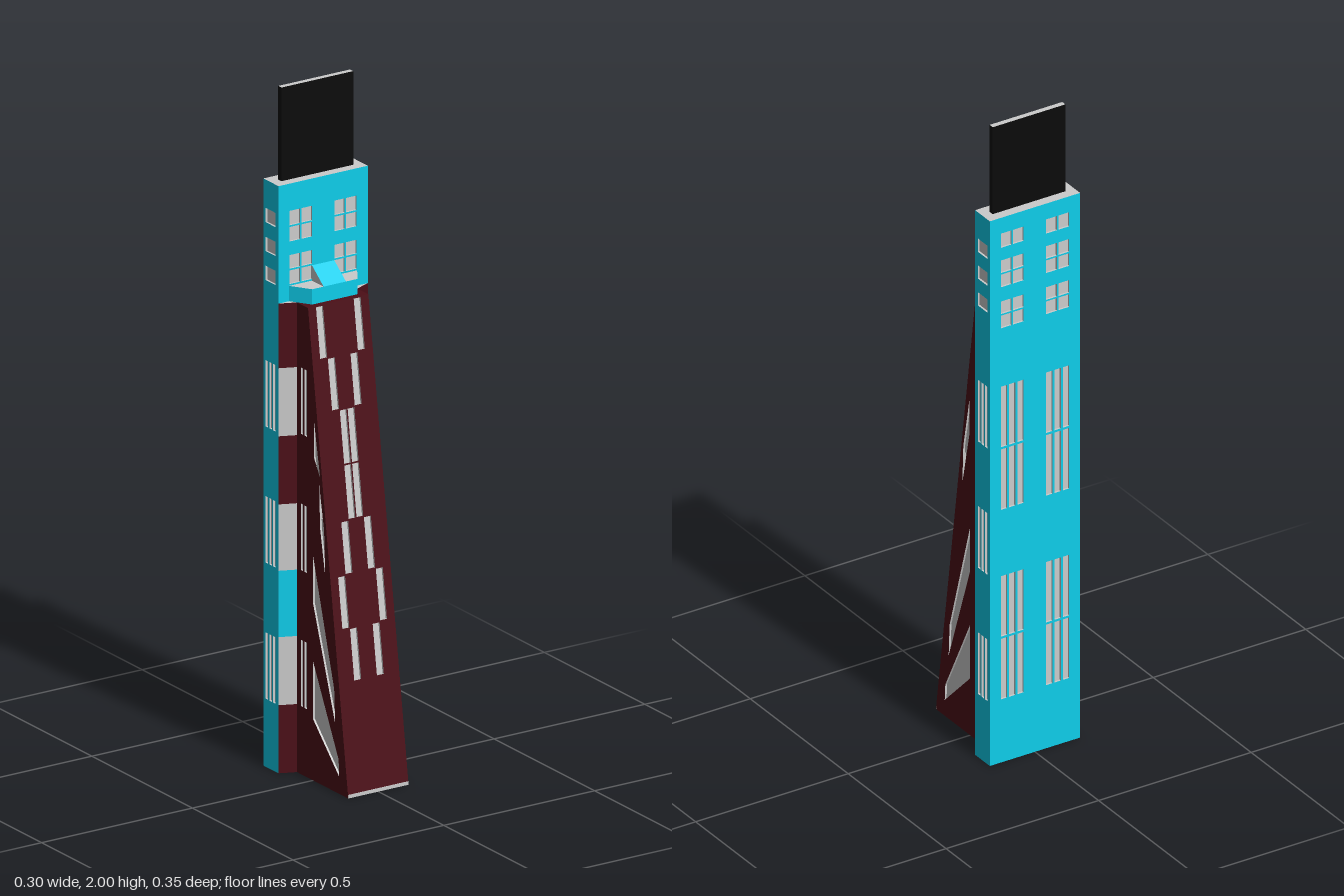
import * as THREE from 'three';
import { mergeGeometries } from 'three/addons/utils/BufferGeometryUtils.js';

const mat = (color, side = THREE.FrontSide) => new THREE.MeshStandardMaterial({ color, side });
const grey = mat(0xcccccc), greyBoth = mat(0xcccccc, THREE.DoubleSide);
const cyan = mat(0x0ecdea), red = mat(0x4c0e17), black = mat(0x0b0b0b);

const W = 0.148, BACK = -0.175, FRONT = -0.1, H = 1.725; // slab tower
const RW = 0.1, RH = 1.38, TOE = 0.175, LIP = -0.025; // sloped buttress
const DEPTH = 0.006; // window recess

const vecs = (pts) => pts.map(([x, y]) => new THREE.Vector2(x, y));
const rect = (x0, y0, x1, y1) => [[x0, y0], [x1, y0], [x1, y1], [x0, y1]];
const flip = (pts) => pts.map(([x, y]) => [-x, y]);

// Splits a window rectangle into panes separated by thin bars
function panes(x0, y0, x1, y1, cols, rows, bar = 0.005) {
  const out = [], w = (x1 - x0 - bar * (cols - 1)) / cols, h = (y1 - y0 - bar * (rows - 1)) / rows;
  for (let c = 0; c < cols; c++) for (let r = 0; r < rows; r++) {
    const x = x0 + c * (w + bar), y = y0 + r * (h + bar);
    out.push(rect(x, y, x + w, y + h));
  }
  return out;
}

// Recessed glass and reveals behind one hole
function pocket(pts) {
  const glass = new THREE.ShapeGeometry(new THREE.Shape(vecs(pts))).translate(0, 0, -DEPTH).toNonIndexed();
  glass.deleteAttribute('uv');
  const p = [];
  pts.forEach(([ax, ay], i) => {
    const [bx, by] = pts[(i + 1) % pts.length];
    p.push(ax, ay, 0, ax, ay, -DEPTH, bx, by, 0, bx, by, 0, ax, ay, -DEPTH, bx, by, -DEPTH);
  });
  const sides = new THREE.BufferGeometry();
  sides.setAttribute('position', new THREE.Float32BufferAttribute(p, 3));
  sides.computeVertexNormals();
  return mergeGeometries([glass, sides]);
}

// Flat wall facing local +z, with window holes and their recesses
function wall(name, material, outline, holes = []) {
  const g = new THREE.Group();
  g.name = name;
  const shape = new THREE.Shape(vecs(outline));
  shape.holes = holes.map((h) => new THREE.Path(vecs(h)));
  const face = new THREE.Mesh(new THREE.ShapeGeometry(shape), material);
  face.name = name + 'Face';
  g.add(face);
  if (holes.length) {
    const win = new THREE.Mesh(mergeGeometries(holes.map(pocket)), greyBoth);
    win.name = name + 'Windows';
    g.add(win);
  }
  return g;
}

// Upright prism from a plan outline in (x, z), with grey ends
function prism(name, plan, y0, y1, material) {
  const shape = new THREE.Shape(vecs(plan.map(([x, z]) => [x, -z])));
  const geo = new THREE.ExtrudeGeometry(shape, { depth: y1 - y0, bevelEnabled: false });
  const m = new THREE.Mesh(geo.rotateX(-Math.PI / 2).translate(0, y0, 0), [grey, material]);
  m.name = name;
  return m;
}

export function createModel() {
  const model = new THREE.Group();
  const add = (o, x = 0, y = 0, z = 0, rx = 0, ry = 0) => {
    o.position.set(x, y, z);
    o.rotation.set(rx, ry, 0);
    model.add(o);
    return o;
  };
  const pair = (fn) => [...fn, ...fn.map(flip)];

  // Slab front and back
  const frontWin = [[1.43, 1.515], [1.555, 1.645]].flatMap(([a, b]) => panes(0.037, a, 0.111, b, 2, 2));
  add(wall('towerFront', cyan, rect(-W, 0, W, H), pair(frontWin)), 0, 0, FRONT);
  const backWin = [
    ...panes(0.037, 0.2, 0.112, 0.59, 3, 2, 0.007),
    ...panes(0.037, 0.8, 0.112, 1.19, 3, 2, 0.007),
    ...panes(0.037, 1.375, 0.112, 1.46, 2, 2),
    ...panes(0.037, 1.505, 0.112, 1.59, 2, 2),
    ...panes(0.037, 1.63, 0.112, 1.675, 2, 1),
  ];
  add(wall('towerBack', cyan, rect(-W, 0, W, H), pair(backWin)), 0, 0, BACK, 0, Math.PI);

  // Slab sides and buttress sides; local x runs towards the back
  const slabSide = rect(-FRONT, 0, -BACK, H);
  const slabWin = [
    ...[0.2, 0.6, 1.0].flatMap((y) => panes(0.114, y, 0.164, y + 0.195, 3, 1, 0.006)),
    ...[1.43, 1.515, 1.6].flatMap((y) => panes(0.114, y, 0.164, y + 0.042, 1, 1)),
  ];
  const wedgeSide = [[-TOE, 0], [-FRONT, 0], [-FRONT, RH], [-LIP, RH]];
  const wedgeWin = [
    ...[0.2, 0.6, 1.0].flatMap((y) => panes(0.031, y, 0.061, y + 0.195, 2, 1, 0.006)),
    [[-0.13, 0.05], [0, 0.18], [0, 0.35], [-0.127, 0.1]],
    [[-0.11, 0.2], [0, 0.52], [0, 0.66], [-0.105, 0.3]],
    [[-0.06, 0.62], [-0.035, 0.75], [-0.03, 0.88], [-0.055, 0.75]],
    [[-0.04, 0.78], [-0.004, 0.95], [-0.004, 1.06], [-0.035, 0.9]],
  ];
  for (const s of [1, -1]) {
    const m = s > 0 ? (p) => p : flip, side = s > 0 ? 'left' : 'right';
    add(wall(side + 'TowerSide', cyan, m(slabSide), slabWin.map(m)), s * W, 0, 0, 0, s * Math.PI / 2);
    add(wall(side + 'ButtressSide', red, m(wedgeSide), wedgeWin.map(m)), s * RW, 0, 0, 0, s * Math.PI / 2);

    // Chamfered corner strips in stacked bands
    const bands = [[0, 0.2, red], [0.2, 0.4, grey], [0.4, 0.595, cyan], [0.595, 0.79, grey],
      [0.79, 0.99, red], [0.99, 1.19, grey], [1.19, RH, red]];
    for (const [a, b, c] of bands) {
      const plan = [[RW, FRONT], [RW, -0.08], [W, FRONT]].map(([x, z]) => [s * x, z]);
      model.add(prism(side + 'CornerBand', plan, a, b, c));
    }
  }

  // Sloped front with staggered windows
  const tilt = Math.atan2(TOE - LIP, RH), k = 1 / Math.cos(tilt);
  const rows = [[0.05, 1.23], [0.025, 1.08], [0.025, 0.62], [0.05, 0.47], [0.025, 0.32]];
  const slopeWin = pair([
    ...rows.map(([x, y]) => rect(x + 0.001, (y + 0.002) * k, x + 0.024, (y + 0.147) * k)),
    ...panes(0.002, 0.772 * k, 0.024, 1.077 * k, 1, 2),
  ]);
  add(wall('slopedFront', red, rect(-RW, 0, RW, RH * k), slopeWin), 0, 0, TOE, -tilt);
  add(wall('buttressTop', red, rect(-RW, -LIP, RW, -FRONT)), 0, RH, 0, -Math.PI / 2);

  // Front threshold, roof and underside
  const lip = new THREE.Mesh(new THREE.BoxGeometry(2 * RW, 0.01, 0.004), grey);
  lip.name = 'threshold';
  add(lip, 0, 0.005, TOE - 0.002);
  add(wall('roof', grey, rect(-W, -FRONT, W, -BACK)), 0, H, 0, -Math.PI / 2);
  const foot = [[-W, BACK], [W, BACK], [W, FRONT], [RW, -0.08], [RW, TOE], [-RW, TOE], [-RW, -0.08], [-W, FRONT]];
  add(wall('underside', grey, foot), 0, 0, 0, Math.PI / 2);

  // Balcony with a small sloped canopy
  model.add(prism('balcony', [[-0.113, FRONT], [-0.075, -0.042], [0.075, -0.042], [0.113, FRONT]], RH, 1.425, cyan));
  const ramp = new THREE.Shape(vecs([[0.042, 1.425], [0.1, 1.425], [0.1, 1.47]]));
  const canopy = new THREE.Mesh(
    new THREE.ExtrudeGeometry(ramp, { depth: 0.074, bevelEnabled: false }).translate(0, 0, -0.037), [grey, cyan]);
  canopy.name = 'canopy';
  add(canopy, 0, 0, 0, 0, Math.PI / 2);

  // Rooftop panel
  model.add(prism('roofPanel', rect(-0.119, -0.145, 0.119, -0.129), H, 2, black));
  const panelFace = new THREE.Mesh(new THREE.BoxGeometry(0.239, 2 - H - 0.001, 0.0165), black);
  panelFace.name = 'roofPanelFacing';
  add(panelFace, 0, (H + 2 - 0.001) / 2, -0.137);
  return model;
}
